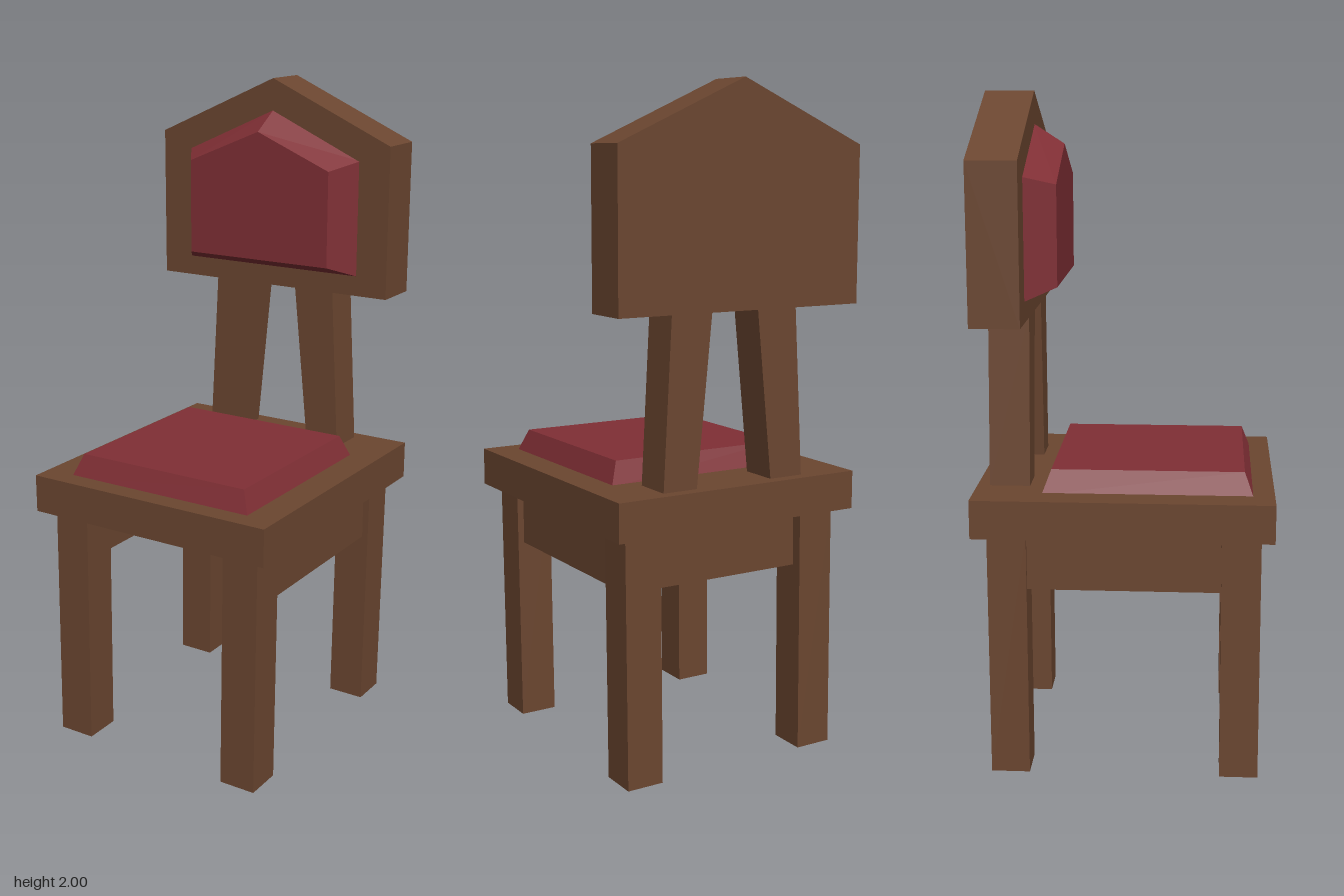
import * as THREE from 'three';

const wood = new THREE.MeshStandardMaterial({ color: 0x6b4630 });
const fabric = new THREE.MeshStandardMaterial({ color: 0x802f35 });

// Flat-sided solid between two convex rings, both counter-clockwise seen from the end ring's outside
function loft(start, end) {
  const n = start.length, pos = [];
  const tri = (a, b, c) => pos.push(...a, ...b, ...c);
  for (let i = 0; i < n; i++) {
    const j = (i + 1) % n;
    tri(start[i], start[j], end[j]);
    tri(start[i], end[j], end[i]);
    if (i > 0 && i < n - 1) {
      tri(end[0], end[i], end[j]);
      tri(start[0], start[j], start[i]);
    }
  }
  const g = new THREE.BufferGeometry();
  g.setAttribute('position', new THREE.Float32BufferAttribute(pos, 3));
  g.computeVertexNormals();
  return g;
}

// Horizontal rectangle ring centred on (x, z)
const rect = (x, y, z, w, d) => [
  [x - w / 2, y, z + d / 2], [x + w / 2, y, z + d / 2],
  [x + w / 2, y, z - d / 2], [x - w / 2, y, z - d / 2],
];

// Upright house-shaped ring at depth z
const gable = (cx, halfW, bottom, shoulder, peak, z) => [
  [cx - halfW, bottom, z], [cx + halfW, bottom, z],
  [cx + halfW, shoulder, z], [cx, peak, z], [cx - halfW, shoulder, z],
];

export function createModel() {
  const model = new THREE.Group();
  model.name = 'chair';
  const chair = new THREE.Group();
  chair.name = 'turnedChair';
  chair.rotation.y = -0.843; // the chair stands turned towards its right
  model.add(chair);

  const add = (name, geometry, material) => {
    const mesh = new THREE.Mesh(geometry, material);
    mesh.name = name;
    chair.add(mesh);
    return mesh;
  };
  const box = (name, w, h, d, x, y, z) =>
    add(name, new THREE.BoxGeometry(w, h, d), wood).position.set(x, y, z);

  // Seat board and its bevelled cushion
  box('seat', 0.804, 0.115, 0.878, 0, 0.8025, 0);
  add('seatCushion', loft(rect(0, 0.855, 0.069, 0.622, 0.617), rect(0, 0.925, 0.069, 0.566, 0.564)), fabric);

  for (const [side, s] of [['left', 1], ['right', -1]]) {
    // Legs, leaning very slightly sideways
    for (const [end, z] of [['Front', 0.346], ['Back', -0.338]]) {
      add(side + end + 'Leg',
        loft(rect(s * 0.3 - 0.006, 0, z, 0.115, 0.115), rect(s * 0.3 + 0.002, 0.75, z - 0.002, 0.115, 0.115)), wood);
    }
    // Side rail under the seat
    box(side + 'Rail', 0.06, 0.17, 0.575, s * 0.311 - 0.003, 0.66, 0.004);
    // Back post, leaning inwards and widening to the top
    add(side + 'BackPost',
      loft(rect(s * 0.183, 0.855, -0.342, 0.11, 0.12), rect(s * 0.143, 1.37, -0.34, 0.133, 0.12)), wood);
  }

  // Back rail; the front stays open
  box('backRail', 0.49, 0.17, 0.06, -0.003, 0.66, -0.334);

  // Peaked backrest with bevelled cushion
  add('backrest', loft(
    gable(-0.01, 0.403, 1.36, 1.82, 2, -0.425),
    gable(-0.01, 0.403, 1.36, 1.82, 2, -0.28)), wood);
  add('backrestCushion', loft(
    gable(-0.01, 0.303, 1.42, 1.77, 1.905, -0.283),
    gable(-0.01, 0.245, 1.455, 1.745, 1.847, -0.192)), fabric);

  return model;
}
